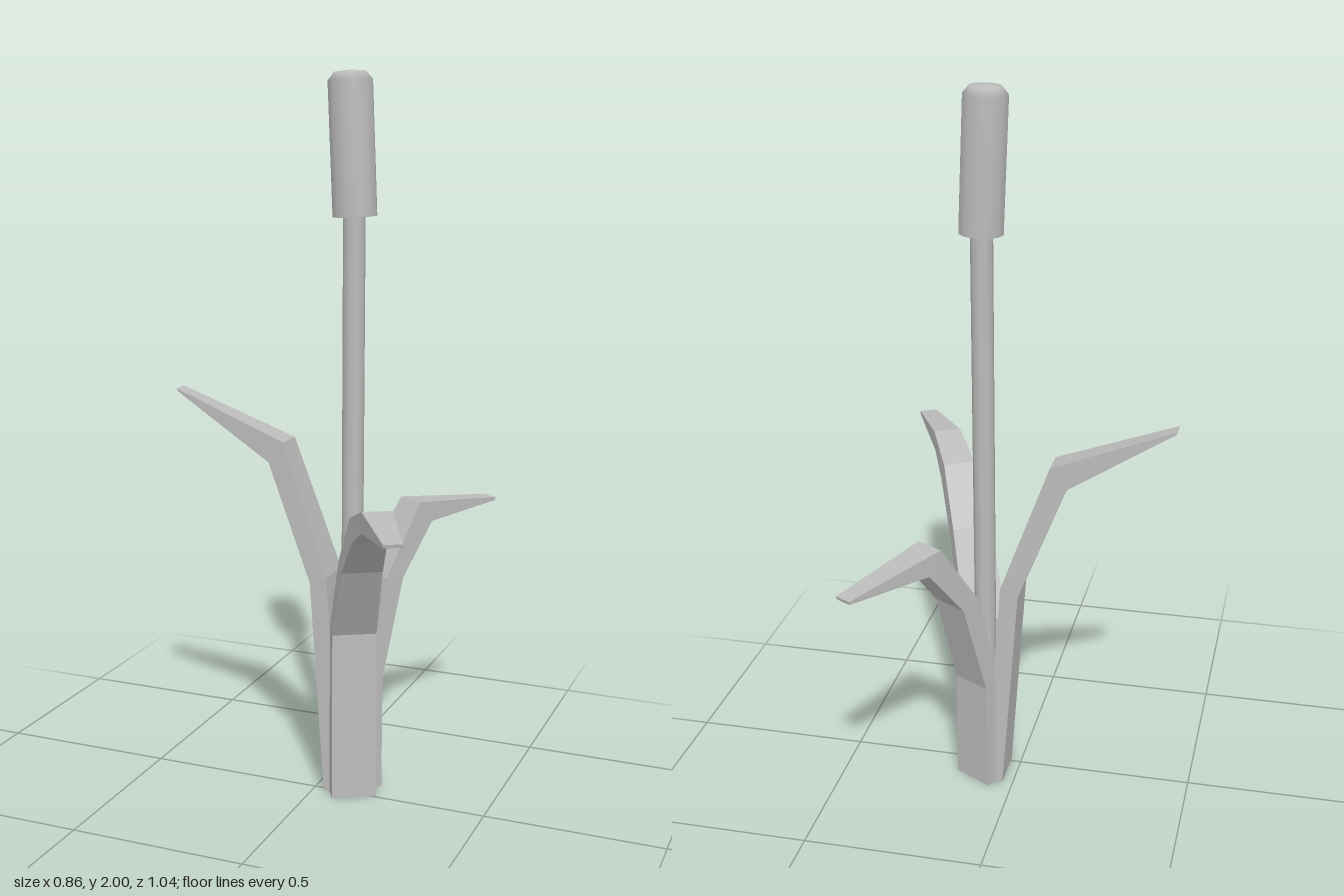
import * as THREE from 'three';

const grey = new THREE.MeshStandardMaterial({ color: 0xbbbbbb });
grey.name = 'plain grey';
const leafGrey = grey.clone();
leafGrey.name = 'plain grey faceted';
leafGrey.flatShading = true;

// Leaf swept along +x from rows of [outerR, outerY, innerR, innerY, halfWidth]
function leafGeometry(rows) {
  const pos = [];
  const idx = [];
  for (const [ro, yo, ri, yi, w] of rows) {
    pos.push(ro, yo, -w, ro, yo, w, ri, yi, w, ri, yi, -w);
  }
  for (let i = 0; i < rows.length - 1; i++) {
    for (let j = 0; j < 4; j++) {
      const a = i * 4 + j;
      const b = i * 4 + ((j + 1) % 4);
      idx.push(b, a, a + 4, b, a + 4, b + 4);
    }
  }
  const t = (rows.length - 1) * 4;
  idx.push(0, 1, 2, 0, 2, 3, t, t + 2, t + 1, t, t + 3, t + 2);
  const g = new THREE.BufferGeometry();
  g.setAttribute('position', new THREE.Float32BufferAttribute(pos, 3));
  g.setIndex(idx);
  const flat = g.toNonIndexed();
  flat.computeVertexNormals();
  return flat;
}

export function createModel() {
  const group = new THREE.Group();
  group.name = 'cattail';

  // Three bent leaves, 120 degrees apart
  const leaves = [
    ['tallLeaf', Math.PI, [
      [0.055, 0, 0.005, 0, 0.062],
      [0.10, 0.61, 0.05, 0.63, 0.056],
      [0.23, 0.94, 0.185, 1.0, 0.041],
      [0.517, 1.118, 0.521, 1.126, 0.024],
    ]],
    ['frontLeaf', -Math.PI / 3, [
      [0.087, 0, 0.033, 0, 0.063],
      [0.075, 0.48, 0.023, 0.485, 0.062],
      [0.194, 0.695, 0.15, 0.72, 0.056],
      [0.307, 0.81, 0.274, 0.87, 0.047],
      [0.405, 0.865, 0.41, 0.922, 0.039],
      [0.636, 0.893, 0.638, 0.902, 0.025],
    ]],
    ['backLeaf', Math.PI / 3, [
      [0.068, 0, 0.015, 0, 0.062],
      [0.07, 0.325, 0.02, 0.335, 0.06],
      [0.149, 0.605, 0.088, 0.615, 0.052],
      [0.265, 0.75, 0.22, 0.812, 0.042],
      [0.53, 0.765, 0.532, 0.774, 0.024],
    ]],
  ];
  for (const [name, angle, rows] of leaves) {
    const leaf = new THREE.Mesh(leafGeometry(rows), leafGrey);
    leaf.name = name;
    leaf.position.set(0.085, 0, -0.05);
    leaf.rotation.y = angle;
    group.add(leaf);
  }

  // Stem
  const stem = new THREE.Mesh(new THREE.CylinderGeometry(0.03, 0.03, 1.65, 10), grey);
  stem.name = 'stem';
  stem.position.set(0.092, 0.825, -0.046);
  group.add(stem);

  // Seed head, leaning slightly, with a rounded-off top
  const head = new THREE.Group();
  head.name = 'seedHead';
  head.position.set(0.093, 1.622, -0.048);
  head.rotation.z = 0.043;
  const body = new THREE.Mesh(new THREE.LatheGeometry([
    new THREE.Vector2(0.06, 0), new THREE.Vector2(0.06, 0.352),
    new THREE.Vector2(0.042, 0.374), new THREE.Vector2(0, 0.378),
  ], 12), grey);
  body.name = 'seedHeadBody';
  const base = new THREE.Mesh(new THREE.CircleGeometry(0.06, 12), grey);
  base.name = 'seedHeadBase';
  base.rotation.x = Math.PI / 2;
  head.add(body, base);
  group.add(head);

  return group;
}
